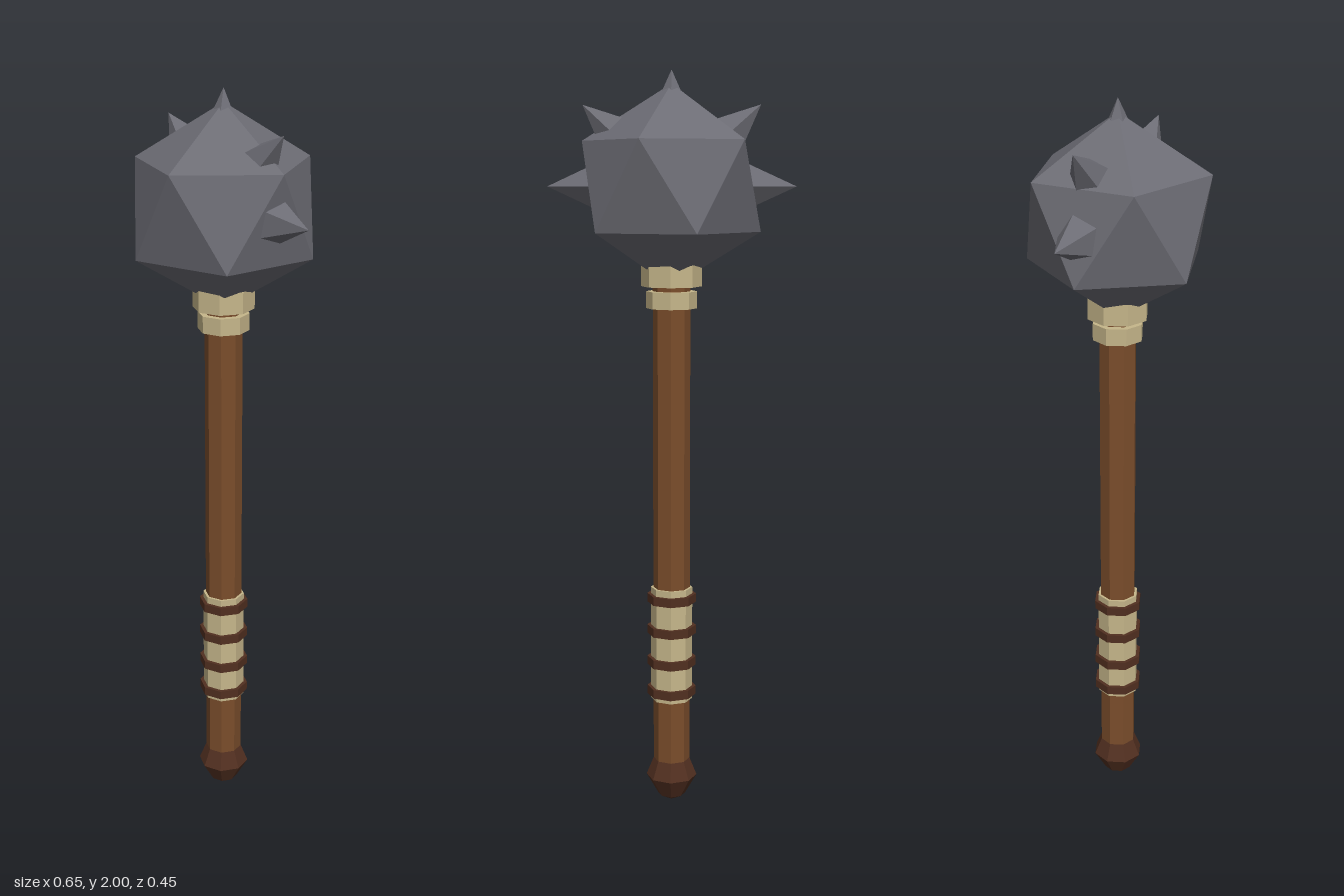
import * as THREE from 'three';
import { ConvexGeometry } from 'three/addons/geometries/ConvexGeometry.js';

const material = (name, color) => {
  const m = new THREE.MeshStandardMaterial({ color, flatShading: true });
  m.name = name;
  return m;
};

export function createModel() {
  const group = new THREE.Group();
  const metal = material('iron', 0x6c6c74);
  const wood = material('wood', 0x7a4d2b);
  const cloth = material('wrapping', 0xc6b68a);
  const leather = material('dark leather', 0x512f20);

  const add = (name, geometry, mat) => {
    const mesh = new THREE.Mesh(geometry, mat);
    mesh.name = name;
    group.add(mesh);
    return mesh;
  };
  // Eight-sided upright section between two heights
  const section = (name, radius, y0, y1, mat) => {
    const mesh = add(name, new THREE.CylinderGeometry(radius, radius, y1 - y0, 8), mat);
    mesh.position.y = (y0 + y1) / 2;
  };

  // Shaft and rounded pommel
  section('shaft', 0.05, 0.08, 1.5, wood);
  const profile = [[0, 0], [0.038, 0.02], [0.07, 0.075], [0.047, 0.132], [0, 0.137]];
  add('pommel', new THREE.LatheGeometry(profile.map(([r, y]) => new THREE.Vector2(r, y)), 8), leather);

  // Wrapped grip with leather bands
  section('grip', 0.057, 0.3, 0.62, cloth);
  for (const y of [0.325, 0.41, 0.5, 0.59]) section('gripBand', 0.067, y - 0.012, y + 0.012, leather);

  // Collar under the head
  section('lowerCollar', 0.068, 1.385, 1.43, cloth);
  section('upperCollar', 0.081, 1.443, 1.5, cloth);

  // Twenty-faced head standing on one corner
  const R = 0.262, headY = 1.703;
  const corners = [new THREE.Vector3(0, R, 0), new THREE.Vector3(0, -R, 0)];
  for (let i = 0; i < 5; i++) {
    const a = (i * Math.PI * 2) / 5, r = R * 0.8944, h = R * 0.4472;
    corners.push(new THREE.Vector3(r * Math.cos(a), h, r * Math.sin(a)));
    corners.push(new THREE.Vector3(-r * Math.cos(a), -h, -r * Math.sin(a)));
  }
  add('head', new ConvexGeometry(corners), metal).position.y = headY;

  // Five spikes fanned over the head from side to side
  const height = 0.13;
  const spikeGeometry = new THREE.ConeGeometry(0.062, height, 5, 1, false, Math.PI);
  [[-90, 0.327], [-48, 0.312], [0, 0.297], [48, 0.312], [90, 0.327]].forEach(([degrees, tip]) => {
    const a = THREE.MathUtils.degToRad(degrees), d = tip - height / 2;
    const spike = add('spike', spikeGeometry, metal);
    spike.position.set(d * Math.sin(a), headY + d * Math.cos(a), 0);
    spike.rotation.z = -a;
  });

  return group;
}
